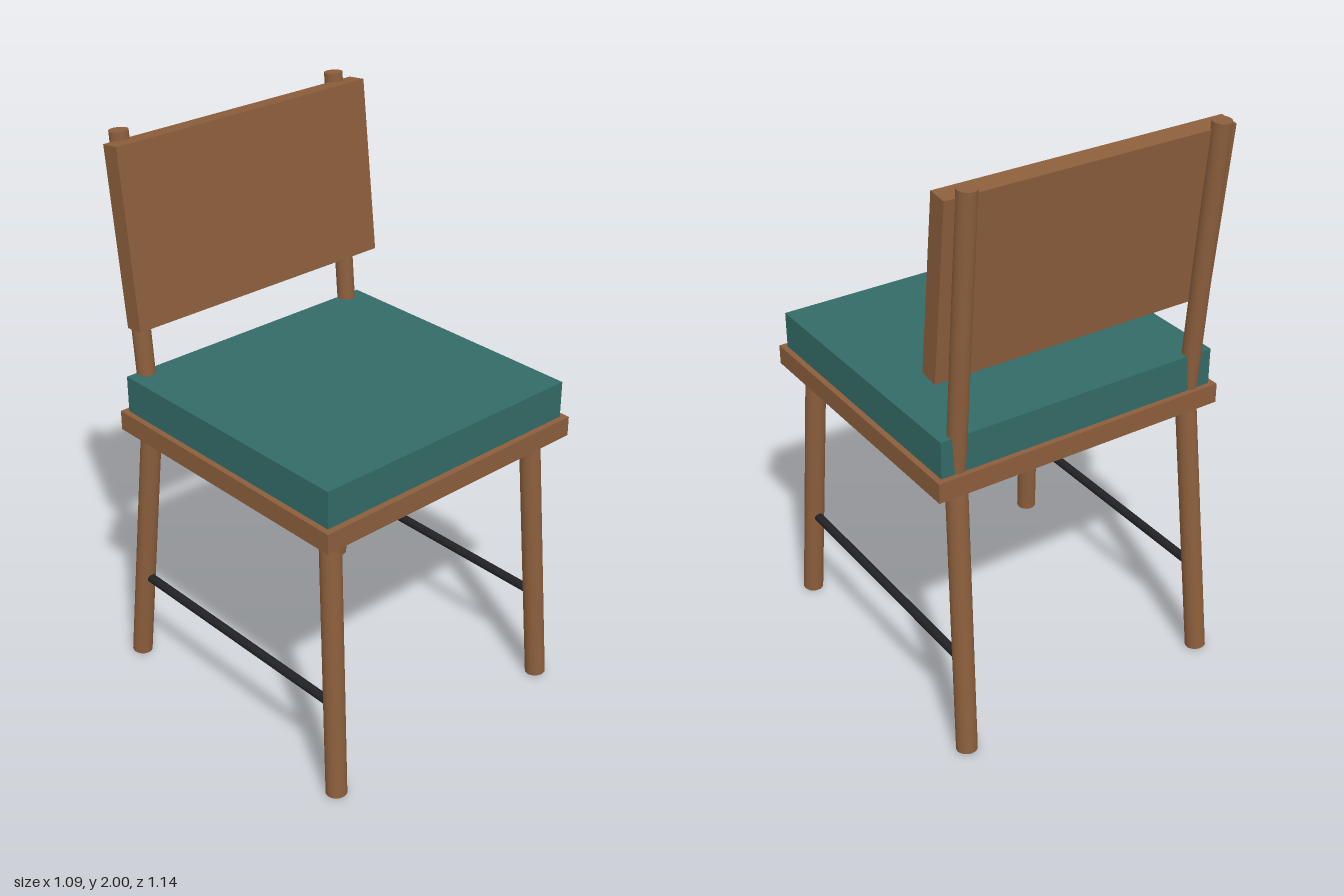
import * as THREE from 'three';

export function createModel() {
  const model = new THREE.Group();
  model.name = 'chair';
  const wood = new THREE.MeshStandardMaterial({ color: 0x8b5e3c });
  const fabric = new THREE.MeshStandardMaterial({ color: 0x336b66 });
  const metal = new THREE.MeshStandardMaterial({ color: 0x222226 });

  function box(name, size, pos, material) {
    const mesh = new THREE.Mesh(new THREE.BoxGeometry(...size), material);
    mesh.name = name;
    mesh.position.set(...pos);
    model.add(mesh);
    return mesh;
  }

  // Round bar between two points
  function rod(name, from, to, radius, material) {
    const a = new THREE.Vector3(...from);
    const b = new THREE.Vector3(...to);
    const dir = b.clone().sub(a);
    const mesh = new THREE.Mesh(new THREE.CylinderGeometry(radius, radius, dir.length(), 24), material);
    mesh.name = name;
    mesh.position.copy(a).add(b).multiplyScalar(0.5);
    mesh.quaternion.setFromUnitVectors(new THREE.Vector3(0, 1, 0), dir.normalize());
    model.add(mesh);
  }

  // Seat board and cushion
  box('seatBoard', [1.085, 0.07, 1.042], [0, 1.005, 0.036], wood);
  box('seatCushion', [1.044, 0.13, 1.0], [0, 1.105, 0.035], fabric);

  // Leaning back panel
  box('backPanel', [1.044, 0.614, 0.07], [0, 1.667, -0.439], wood).rotation.x = -0.112;

  // Splayed legs, back posts and side stretchers
  for (const [side, s] of [['left', 1], ['right', -1]]) {
    rod(side + 'FrontLeg', [s * 0.487, 0.003, 0.534], [s * 0.452, 0.985, 0.466], 0.036, wood);
    rod(side + 'BackLeg', [s * 0.487, 0.003, -0.534], [s * 0.452, 0.985, -0.438], 0.036, wood);
    rod(side + 'BackPost', [s * 0.454, 1.03, -0.438], [s * 0.454, 1.997, -0.519], 0.032, wood);
    rod(side + 'Stretcher', [s * 0.474, 0.34, 0.5], [s * 0.474, 0.34, -0.49], 0.016, metal);
  }
  return model;
}
